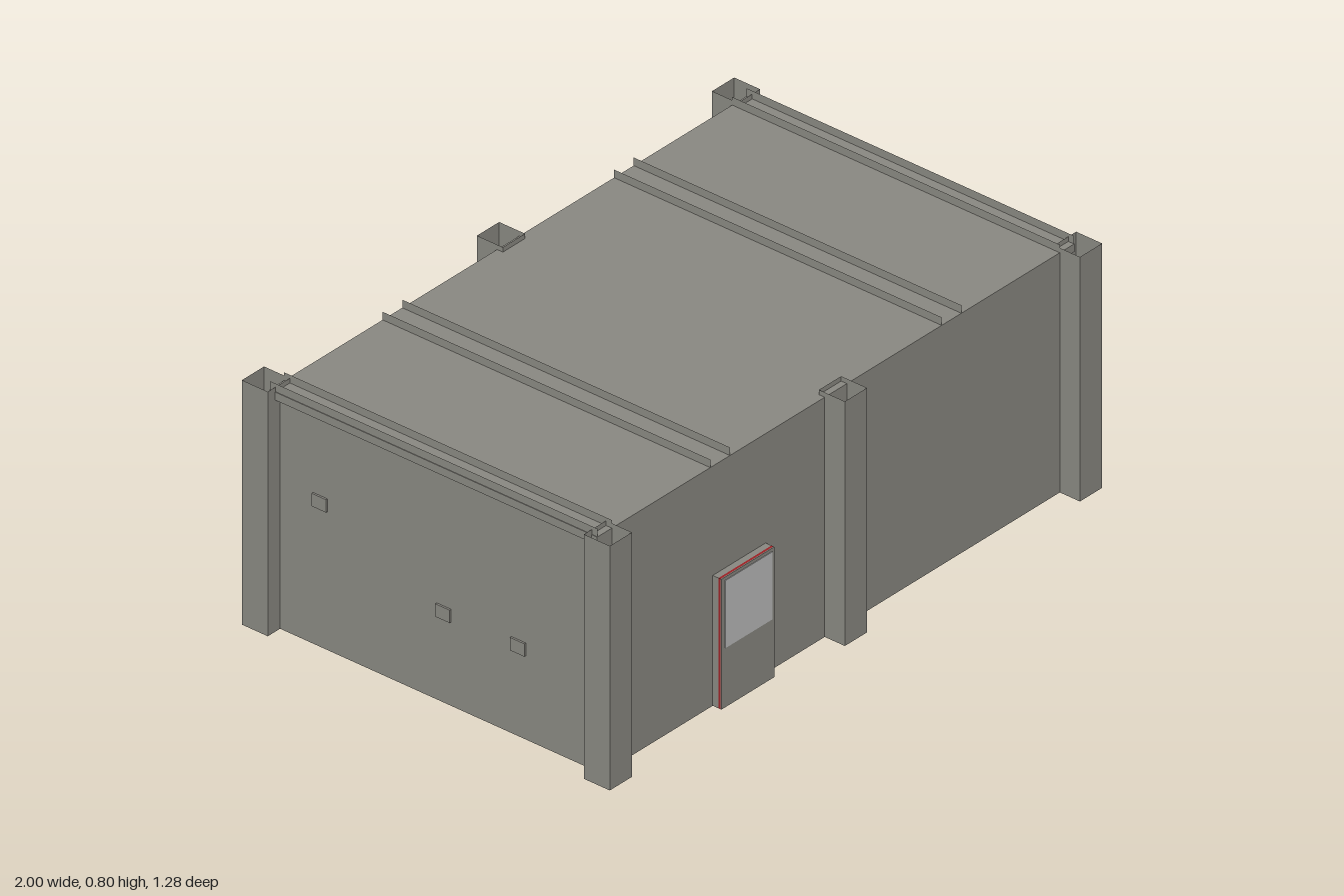
import * as THREE from 'three';

export function createModel() {
  const model = new THREE.Group();
  model.name = 'garageBuilding';

  const material = (name, color, side = THREE.FrontSide) => {
    const m = new THREE.MeshStandardMaterial({ color, side, flatShading: true });
    m.name = name;
    return m;
  };
  const concrete = material('concreteGrey', 0x8a8982, THREE.DoubleSide);
  const glass = material('paleGlass', 0xbcbcbc);
  const red = material('redTrim', 0x9c2226);

  const add = (name, geometry, mat = concrete) => {
    const mesh = new THREE.Mesh(geometry, mat);
    mesh.name = name;
    model.add(mesh);
    return mesh;
  };
  // Box given by its lower and upper limits on each axis
  const box = (name, x0, x1, y0, y1, z0, z1, mat) => {
    const mesh = add(name, new THREE.BoxGeometry(x1 - x0, y1 - y0, z1 - z0), mat);
    mesh.position.set((x0 + x1) / 2, (y0 + y1) / 2, (z0 + z1) / 2);
    return mesh;
  };
  const polygon = (points) => new THREE.Shape(points.map(([x, y]) => new THREE.Vector2(x, y)));

  // Main hall
  box('hall', -0.95, 0.88, 0.03, 0.775, -0.57, 0.57);

  // End wall with the garage opening
  const wall = polygon([
    [-0.57, 0.03], [-0.38, 0.03], [-0.38, 0.685], [0.38, 0.685],
    [0.38, 0.03], [0.57, 0.03], [0.57, 0.775], [-0.57, 0.775],
  ]);
  const wallGeometry = new THREE.ExtrudeGeometry(wall, { depth: 0.07, bevelEnabled: false });
  wallGeometry.rotateY(Math.PI / 2);
  add('garageWall', wallGeometry).position.x = 0.88;

  // Garage door, folding inward at its top
  const door = polygon([[0.88, 0.03], [0.945, 0.03], [0.945, 0.6], [0.905, 0.64], [0.885, 0.685], [0.88, 0.685]]);
  const doorGeometry = new THREE.ExtrudeGeometry(door, { depth: 0.758, bevelEnabled: false });
  add('garageDoor', doorGeometry).position.z = -0.379;

  // Door guide and small feet beside the garage door
  box('doorGuide', 0.945, 0.955, 0.58, 0.65, -0.384, -0.376);
  box('guideFoot', 0.93, 0.95, 0.02, 0.03, 0.38, 0.41);
  box('sillStrip', 0.93, 0.95, 0.022, 0.03, -0.54, -0.38);
  box('doorStop', 0.935, 0.965, 0, 0.03, -0.485, -0.45);

  // Roof edge trims and upright fins
  for (const s of [-1, 1]) {
    const edge = box('roofEdge', -0.01, 0.01, 0.75, 0.775, -0.57, 0.57);
    edge.position.x = s * 0.96;
    for (const x of [0.43, 0.51, 0.91, 0.968]) {
      const fin = add('roofFin', new THREE.PlaneGeometry(1.14, 0.03));
      fin.rotation.y = s * Math.PI / 2;
      fin.position.set(s * x, 0.785, 0);
    }
  }

  // Hollow square columns along both long sides
  const columnGeometry = new THREE.CylinderGeometry(0.045 * Math.SQRT2, 0.045 * Math.SQRT2, 0.76, 4, 1, true);
  columnGeometry.rotateY(Math.PI / 4);
  for (const x of [-0.955, 0, 0.955]) {
    for (const z of [-0.595, 0.595]) {
      add('column', columnGeometry).position.set(x, 0.41, z);
    }
  }

  // Front entrance: slab, red layer, face plate and window
  box('entranceSlab', -0.5, -0.285, 0.03, 0.435, 0.565, 0.59);
  box('entranceRedEdge', -0.5, -0.285, 0.03, 0.435, 0.59, 0.597, red);
  box('entranceFace', -0.5, -0.285, 0.03, 0.435, 0.597, 0.6);
  box('entranceWindow', -0.485, -0.295, 0.215, 0.425, 0.6, 0.602, glass);

  // Back wall: shelf bar and broken red stripes
  box('backBar', 0.085, 0.33, 0.225, 0.25, -0.585, -0.57);
  for (const [x, bottom, top] of [[0.7, 0.14, 0.46], [0.38, 0.12, 0.6]]) {
    const step = (top - bottom) / 3;
    for (let i = 0; i < 3; i++) {
      const y = bottom + i * step;
      box('backStripe', x - 0.004, x + 0.004, y, y + step - 0.015, -0.573, -0.569, red);
    }
  }

  // Small vents on the closed end wall
  for (const [y, z] of [[0.48, -0.41], [0.31, 0.02], [0.31, 0.28]]) {
    box('endVent', -0.956, -0.95, y - 0.02, y + 0.02, z - 0.025, z + 0.025);
  }

  // Rectangular rim under the floor
  const rim = polygon([[-0.305, -0.1], [0.74, -0.1], [0.74, 0.1], [-0.305, 0.1]]);
  rim.holes.push(polygon([[-0.28, -0.075], [-0.28, 0.075], [0.715, 0.075], [0.715, -0.075]]));
  const rimGeometry = new THREE.ExtrudeGeometry(rim, { depth: 0.025, bevelEnabled: false });
  rimGeometry.rotateX(Math.PI / 2);
  add('floorRim', rimGeometry).position.y = 0.03;

  return model;
}
